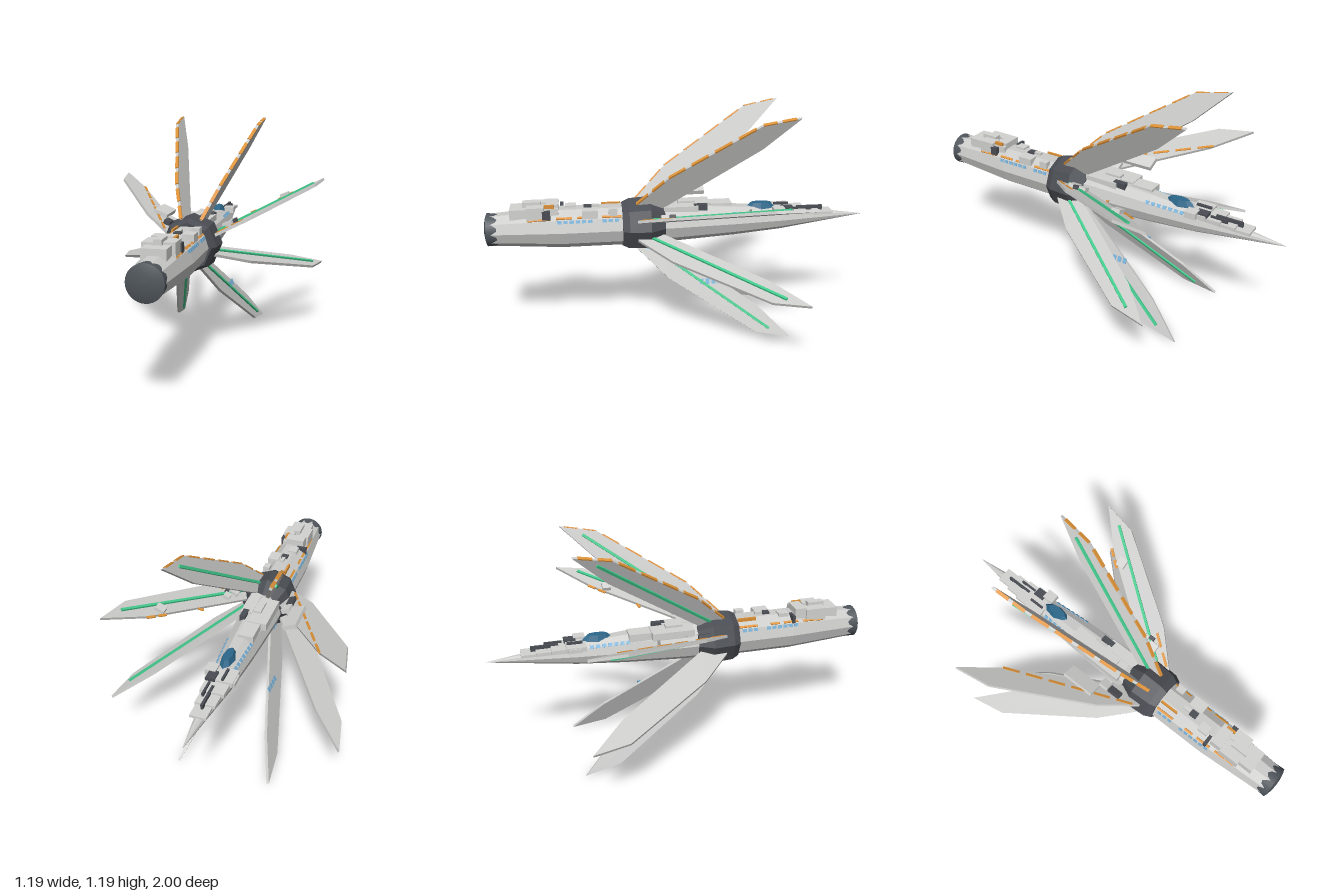
import * as THREE from 'three';

const paint = (name, color) => {
  const m = new THREE.MeshStandardMaterial({ color });
  m.name = name;
  return m;
};
const AXIS = 0.605; // height of the hull axis
const HULL = [[-1, 0.001], [-0.55, 0.062], [-0.3, 0.083], [0, 0.1], [0.3, 0.108], [0.6, 0.108], [0.97, 0.083]];

// hull radius at a station along z
function hullRadius(z) {
  const i = Math.max(1, HULL.findIndex(([end]) => z <= end));
  const [z0, r0] = HULL[i - 1], [z1, r1] = HULL[i];
  return r0 + (r1 - r0) * (z - z0) / (z1 - z0);
}

export function createModel() {
  const root = new THREE.Group();
  root.name = 'ship';
  const hullGrey = paint('hull grey', 0xcbcbca);
  const panelGrey = paint('panel grey', 0xd3d3d1);
  const darkGrey = paint('dark grey', 0x4a4d53);
  const capGrey = paint('cap grey', 0x50565c);
  const green = paint('green', 0x42c98c);
  const orange = paint('orange', 0xdd9238);
  const blue = paint('window blue', 0x78b2da);
  const teal = paint('canopy blue', 0x2c678a);

  const axis = new THREE.Group();
  axis.name = 'axis';
  axis.position.y = AXIS;
  root.add(axis);

  const add = (parent, name, geo, mat) => {
    const m = new THREE.Mesh(geo, mat);
    m.name = name;
    parent.add(m);
    return m;
  };
  // faceted or smooth turned body along z, from [z, radius] points
  const turned = (name, pts, sides, mat, flat = true) => {
    let g = new THREE.LatheGeometry(pts.map(([z, r]) => new THREE.Vector2(r, z)), sides, Math.PI / 2);
    g.rotateX(Math.PI / 2);
    if (flat) {
      g = g.toNonIndexed();
      g.computeVertexNormals();
    }
    return add(axis, name, g, mat);
  };

  turned('hull', [...HULL, [0.97, 0]], 10, hullGrey);
  turned('collar', [[0.07, 0.07], [0.075, 0.105], [0.15, 0.147], [0.26, 0.14], [0.295, 0.122], [0.295, 0.09]], 8, darkGrey);
  turned('endCapRim', [[0.92, 0.081], [0.985, 0.085]], 32, capGrey, false);
  turned('endCapDome', [[0.985, 0.085], [0.992, 0.065], [0.998, 0.035], [1, 0]], 32, capGrey, false);

  // swept blades around the collar
  const outline = [[0.09, 0.22], [0.135, 0.22], [0.3, 0.06], [0.605, -0.385], [0.642, -0.57], [0.465, -0.4], [0.09, 0.1]];
  const bladeGeo = new THREE.ExtrudeGeometry(new THREE.Shape(outline.map(p => new THREE.Vector2(...p))),
    { depth: 0.014, bevelEnabled: false });
  bladeGeo.translate(0, 0, -0.007).rotateX(Math.PI / 2);

  // bar lying on a blade between two [radius, z] points
  const strip = (parent, name, mat, a, b, y, w, h) => {
    const dr = b[0] - a[0], dz = b[1] - a[1];
    const m = add(parent, name, new THREE.BoxGeometry(Math.hypot(dr, dz), h, w), mat);
    m.position.set((a[0] + b[0]) / 2, y, (a[1] + b[1]) / 2);
    m.rotation.y = Math.atan2(-dz, dr);
  };
  // evenly spaced orange dashes along the line a-b
  const dashes = (parent, count, a, b, y, w, h) => {
    const at = t => [a[0] + (b[0] - a[0]) * t, a[1] + (b[1] - a[1]) * t];
    for (let i = 0; i < count; i++) strip(parent, 'dash', orange, at(i / count), at((i + 0.72) / count), y, w, h);
  };
  const blades = [];
  for (let k = 0; k < 8; k++) {
    const blade = new THREE.Group();
    blade.name = 'blade' + (k + 1);
    blade.rotation.z = Math.PI / 8 + k * Math.PI / 4;
    axis.add(blade);
    add(blade, 'bladePlate', bladeGeo, hullGrey);
    strip(blade, 'glowStrip', green, [0.13, 0.145], [0.59, -0.457], 0.01, 0.014, 0.012);
    blades.push(blade);
  }
  // orange along the leading edges of the two top blades
  for (const k of [1, 2]) {
    dashes(blades[k], 2, outline[1], outline[2], 0, 0.008, 0.017);
    dashes(blades[k], 4, outline[2], outline[3], 0, 0.008, 0.017);
    dashes(blades[k], 2, outline[3], outline[4], 0, 0.006, 0.017);
  }
  // orange dashes on the upper faces of the two flat upper blades
  dashes(blades[3], 6, [0.16, 0.19], [0.49, -0.44], -0.008, 0.013, 0.005);
  dashes(blades[0], 2, [0.14, 0.2], [0.27, 0.03], 0.008, 0.013, 0.005);
  dashes(blades[0], 1, [0.26, -0.165], [0.3, -0.18], 0.008, 0.014, 0.005);
  dashes(blades[0], 2, [0.4, -0.33], [0.48, -0.43], 0.008, 0.014, 0.005);
  // window rows on the outer faces of the two lowest blades
  for (const [k, y] of [[6, 0.008], [5, -0.008]]) {
    const row = (count, r, z) => {
      for (let i = 0; i < count; i++) strip(blades[k], 'window', blue, [r, z - i * 0.031], [r + 0.028, z - i * 0.031], y, 0.02, 0.004);
    };
    row(4, 0.31, -0.11);
    row(3, 0.112, 0.16);
  }
  // equipment boxes on the upper blades: blade, radius, z, width, length, material
  for (const [k, r, z, w, len, mat] of [
    [0, 0.44, -0.32, 0.05, 0.045, panelGrey],
    [0, 0.2, 0.015, 0.035, 0.04, panelGrey],
    [0, 0.18, 0.08, 0.05, 0.05, panelGrey],
    [0, 0.215, 0.05, 0.02, 0.03, darkGrey],
    [3, 0.245, -0.08, 0.075, 0.175, panelGrey],
    [3, 0.175, 0.085, 0.035, 0.07, darkGrey],
    [3, 0.17, 0.02, 0.05, 0.05, panelGrey],
  ]) add(blades[k], 'bladeBox', new THREE.BoxGeometry(w, 0.024, len), mat).position.set(r, k ? -0.015 : 0.015, z);

  // painted plates on hull facets, mirrored left and right
  const hullPlate = (name, mat, deg, off, z, w, len) => {
    for (const s of [1, -1]) {
      const g = new THREE.Group();
      g.name = name;
      g.rotation.z = THREE.MathUtils.degToRad(s > 0 ? deg : 180 - deg);
      axis.add(g);
      const m = add(g, name, new THREE.BoxGeometry(0.008, w, len), mat);
      m.position.set(hullRadius(z) * Math.cos(Math.PI / 10), off * s, z);
    }
  };
  for (let i = 0; i < 6; i++) hullPlate('sideWindow', blue, 18, 0.024, 0.46 + i * 0.031, 0.016, 0.021);
  for (let i = 0; i < 3; i++) hullPlate('sideWindow', blue, 18, 0.024, 0.325 + i * 0.031, 0.016, 0.021);
  for (let i = 0; i < 7; i++) hullPlate('noseWindow', blue, 36, 0.004, -0.29 - i * 0.031, 0.018, 0.021);
  for (const [z, len] of [[0.35, 0.1], [0.5, 0.05], [0.59, 0.08], [0.69, 0.06], [0.75, 0.05]])
    hullPlate('hullStripe', orange, 54, -0.022, z, 0.012, len);
  hullPlate('noseStripe', orange, 54, -0.008, -0.59, 0.012, 0.035);

  // box sunk into the hull top, rising to the given height above the axis
  const deckBox = (x, z, w, len, top, mat = panelGrey) => {
    const bottom = hullRadius(z) * 0.6;
    add(axis, 'deckBox', new THREE.BoxGeometry(w, top - bottom, len), mat).position.set(x, (top + bottom) / 2, z);
  };
  // engine deck
  deckBox(0, 0.742, 0.115, 0.245, 0.117);
  deckBox(-0.048, 0.735, 0.055, 0.11, 0.127);
  deckBox(0.042, 0.735, 0.065, 0.09, 0.129);
  deckBox(0, 0.755, 0.038, 0.09, 0.143);
  deckBox(-0.012, 0.65, 0.105, 0.06, 0.133);
  deckBox(0.068, 0.68, 0.025, 0.04, 0.11, darkGrey);
  deckBox(-0.062, 0.603, 0.055, 0.017, 0.105, darkGrey);
  deckBox(0.046, 0.665, 0.012, 0.05, 0.135, orange);
  // middle deck
  deckBox(0.055, 0.46, 0.06, 0.08, 0.107);
  deckBox(0.062, 0.342, 0.035, 0.045, 0.111);
  deckBox(-0.025, 0.557, 0.05, 0.055, 0.111);
  deckBox(0, 0.47, 0.036, 0.04, 0.111, darkGrey);
  deckBox(0, 0.43, 0.018, 0.04, 0.115);
  deckBox(-0.047, 0.35, 0.01, 0.1, 0.107, orange);
  // deck behind the collar
  deckBox(-0.05, -0.06, 0.1, 0.22, 0.097);
  deckBox(-0.03, -0.228, 0.08, 0.115, 0.093);
  deckBox(0.03, -0.01, 0.06, 0.18, 0.1);
  deckBox(-0.025, -0.045, 0.04, 0.09, 0.109);
  deckBox(0.035, -0.115, 0.03, 0.07, 0.103, darkGrey);
  // stepped plates narrowing towards the nose
  for (let i = 0; i < 4; i++) deckBox(-0.012 + i * 0.004, -0.555 - i * 0.075, 0.14 - i * 0.02, 0.1, 0.061 - i * 0.0095);
  deckBox(-0.065, -0.565, 0.05, 0.07, 0.057);
  deckBox(0.048, -0.53, 0.055, 0.06, 0.071);
  deckBox(0.028, -0.58, 0.047, 0.06, 0.069, darkGrey);
  deckBox(0, -0.71, 0.012, 0.14, 0.059, darkGrey);
  deckBox(0.025, -0.665, 0.01, 0.09, 0.061, darkGrey);
  deckBox(-0.03, -0.56, 0.011, 0.08, 0.073, darkGrey);

  // canopy: a low faceted hump
  const canopyGeo = new THREE.CylinderGeometry(0.022, 0.038, 0.04, 8).toNonIndexed();
  canopyGeo.scale(1, 1, 2.4);
  canopyGeo.computeVertexNormals();
  add(axis, 'canopy', canopyGeo, teal).position.set(0, 0.07, -0.44);

  return root;
}
